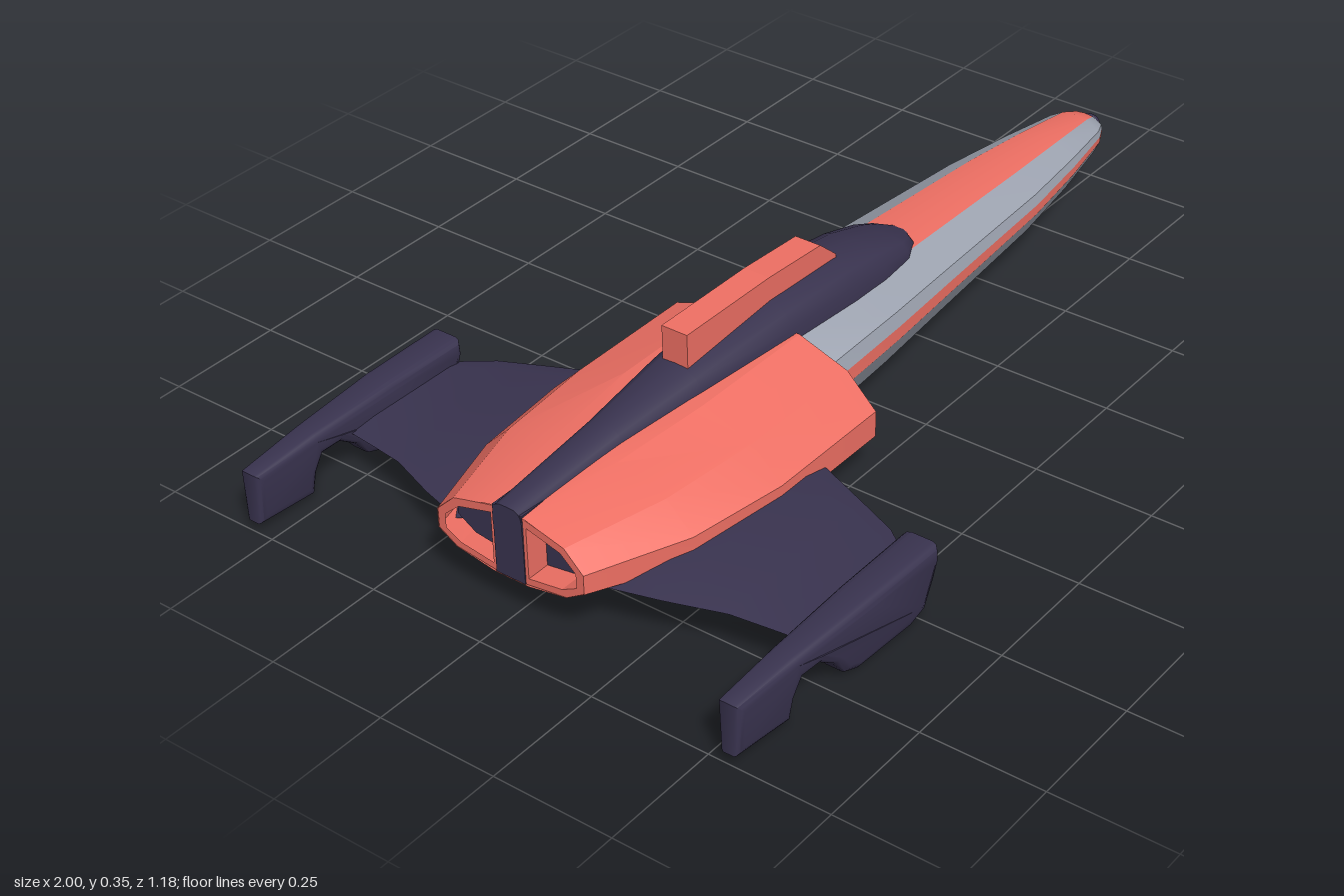
import * as THREE from 'three';
import { toCreasedNormals } from 'three/addons/utils/BufferGeometryUtils.js';

const paint = (color, side = THREE.FrontSide) => new THREE.MeshStandardMaterial({ color, side });
const RED = paint(0xf07064), GREY = paint(0x9da3b0), DARK = paint(0x39334f), MAUVE = paint(0x6b3f4e);
const RED_SHELL = paint(0xf07064, THREE.DoubleSide);

function add(group, name, geometry, material) {
  const mesh = new THREE.Mesh(geometry, material);
  mesh.name = name;
  group.add(mesh);
  return mesh;
}

// Closed ring across the body at x, from one half given as [z, y], top centre to bottom centre
function ring(x, half) {
  const mirrored = half.slice(1, -1).reverse().map(([z, y]) => [-z, y]);
  return [...half, ...mirrored].map(([z, y]) => [x, y, z]);
}

// Skin between closed rings; keep(j) selects lengthwise strips, caps close both ends
function loft(rings, { keep = () => true, caps = false, crease = 0.45 } = {}) {
  const pos = [], n = rings[0].length;
  const tri = (...p) => p.forEach((v) => pos.push(...v));
  for (let i = 0; i < rings.length - 1; i++) {
    for (let j = 0; j < n; j++) {
      if (!keep(j)) continue;
      const k = (j + 1) % n;
      const a = rings[i][j], b = rings[i][k], c = rings[i + 1][k], d = rings[i + 1][j];
      tri(a, b, c);
      tri(a, c, d);
    }
  }
  if (caps) {
    const first = rings[0], last = rings[rings.length - 1];
    for (let j = 1; j < n - 1; j++) {
      tri(first[0], first[j + 1], first[j]);
      tri(last[0], last[j], last[j + 1]);
    }
  }
  const g = new THREE.BufferGeometry();
  g.setAttribute('position', new THREE.Float32BufferAttribute(pos, 3));
  return toCreasedNormals(g, crease);
}

// Plate facing along x from a [z, y] outline with an optional hole, on side s
function plate(outline, hole, x, depth, s) {
  const pts = (list) => list.map(([z, y]) => new THREE.Vector2(-s * z, y));
  const shape = new THREE.Shape(pts(outline));
  if (hole) shape.holes.push(new THREE.Path(pts(hole)));
  return new THREE.ExtrudeGeometry(shape, { depth, bevelEnabled: false })
    .rotateY(Math.PI / 2).translate(x, 0, 0);
}

function makeFuselage() {
  const g = new THREE.Group();
  g.name = 'fuselage';
  // Fractions of half width and of height
  const profile = [[0, 1], [0.46, 0.96], [0.94, 0.76], [1, 0.62], [1, 0.48], [0.78, 0.15], [0.4, 0], [0, 0]];
  const stations = [ // x, half width, top, bottom
    [-0.46, 0.11, 0.21, 0.04], [-0.2, 0.165, 0.25, 0.03], [0.05, 0.152, 0.24, 0.038],
    [0.25, 0.137, 0.231, 0.048], [0.6, 0.112, 0.215, 0.065], [0.78, 0.088, 0.203, 0.08],
    [0.92, 0.064, 0.19, 0.1], [0.96, 0.045, 0.176, 0.116], [0.98, 0.024, 0.162, 0.13],
  ];
  const rings = stations.map(([x, w, top, bot]) =>
    ring(x, profile.map(([z, y]) => [z * w, bot + y * (top - bot)])));
  const isRed = (j) => [0, 3, 6].includes(Math.min(j, 13 - j));
  add(g, 'redStripes', loft(rings, { keep: isRed }), RED);
  add(g, 'greyPanels', loft(rings, { keep: (j) => !isRed(j) }), GREY);
  // Dark nose tip
  const tip = add(g, 'noseTip', new THREE.SphereGeometry(1, 16, 10), DARK);
  tip.scale.set(0.026, 0.019, 0.027);
  tip.position.set(0.974, 0.146, 0);
  return g;
}

function makeHull() {
  const g = new THREE.Group();
  g.name = 'engineHull';
  const rear = [[0, 0.23], [0.04, 0.228], [0.125, 0.205], [0.166, 0.165], [0.166, 0.125], [0.125, 0.1], [0.04, 0.085], [0, 0.085]];
  const front = [[0, 0.25], [0.09, 0.248], [0.2, 0.21], [0.265, 0.145], [0.265, 0.09], [0.22, 0.06], [0.06, 0.032], [0, 0.032]];
  const back = [[0, 0.242], [0.07, 0.24], [0.18, 0.21], [0.238, 0.152], [0.238, 0.098], [0.19, 0.065], [0.055, 0.045], [0, 0.045]];
  const rings = [ring(-0.91, rear), ring(-0.7, back), ring(-0.48, front), ring(-0.19, front)];
  add(g, 'hullShell', loft(rings, { crease: 0.3 }), RED_SHELL);

  for (const s of [1, -1]) {
    // Intake frame with a recessed inner wall
    const frame = [[0.12, 0.235], [0.2, 0.209], [0.264, 0.145], [0.264, 0.09], [0.22, 0.061], [0.12, 0.043]];
    const mouth = [[0.165, 0.193], [0.2, 0.19], [0.248, 0.142], [0.248, 0.096], [0.215, 0.08], [0.14, 0.066]];
    add(g, 'intakeFrame', plate(frame, mouth, -0.26, 0.07, s), RED);
    add(g, 'intakeWall', plate(frame, null, -0.265, 0.02, s), MAUVE);
    // Exhaust frame with a recessed dark wall
    const outlet = [[0.03, 0.228], [0.125, 0.205], [0.165, 0.165], [0.165, 0.125], [0.125, 0.1], [0.03, 0.087]];
    const opening = [[0.04, 0.21], [0.115, 0.19], [0.148, 0.16], [0.148, 0.13], [0.115, 0.113], [0.04, 0.102]];
    add(g, 'exhaustFrame', plate(outlet, opening, -0.909, 0.06, s), RED);
    add(g, 'exhaustWall', plate(outlet, null, -0.86, 0.01, s), DARK);
  }
  const post = add(g, 'exhaustPost', new THREE.BoxGeometry(0.06, 0.145, 0.066), DARK);
  post.position.set(-0.881, 0.16, 0);
  return g;
}

function makeSpine() {
  const g = new THREE.Group();
  g.name = 'spine';
  const stations = [ // x, half width, top
    [-0.912, 0.033, 0.24], [-0.65, 0.046, 0.265], [-0.45, 0.068, 0.285], [-0.2, 0.088, 0.305],
    [0, 0.089, 0.297], [0.1, 0.086, 0.281], [0.19, 0.077, 0.256], [0.235, 0.058, 0.24], [0.26, 0.025, 0.23],
  ];
  const rings = stations.map(([x, w, top]) => {
    const h = top - 0.215;
    return ring(x, [[0, top], [w * 0.5, top - 0.03 * h], [w * 0.76, top - 0.18 * h],
      [w * 0.93, top - 0.5 * h], [w, 0.215], [w, 0.19], [0, 0.19]]);
  });
  add(g, 'canopy', loft(rings, { caps: true, crease: 0.8 }), DARK);
  // Red dorsal block with a sloped front
  const side = [[-0.445, 0.26], [0.01, 0.26], [0.01, 0.302], [-0.04, 0.345], [-0.2, 0.354], [-0.445, 0.355]];
  const shape = new THREE.Shape(side.map(([x, y]) => new THREE.Vector2(x, y)));
  add(g, 'dorsalBlock', new THREE.ExtrudeGeometry(shape, { depth: 0.058, bevelEnabled: false })
    .translate(0, 0, -0.029), RED);
  return g;
}

// Both wings as one span: thin airfoil sections from tip to tip
function makeWings() {
  const half = [ // z, leading x, trailing x, y, thickness
    [0, -0.4, -0.75, 0.112, 0.036], [0.17, -0.34, -0.86, 0.112, 0.036], [0.27, -0.35, -0.83, 0.11, 0.03],
    [0.38, -0.39, -0.785, 0.103, 0.022], [0.46, -0.42, -0.77, 0.098, 0.015], [0.54, -0.48, -0.76, 0.097, 0.013],
  ];
  const span = [...half.slice(1).reverse().map(([z, ...r]) => [-z, ...r]), ...half];
  const rings = span.map(([z, a, b, y, t]) => {
    const at = (f, h) => [a + (b - a) * f, y + h * t, z];
    return [at(0, 0), at(0.12, 0.45), at(0.8, 0.45), at(1, 0), at(0.8, -0.45), at(0.12, -0.45)];
  });
  const g = new THREE.Group();
  g.name = 'wings';
  add(g, 'wingSpan', loft(rings, { caps: true }), DARK);
  return g;
}

// Wingtip pod: arched side outline, bevelled, thinner to the tail and to the bottom
function makePod(s) {
  const outline = [[-1, 0.025], [-0.86, 0.014], [-0.852, 0.06], [-0.835, 0.092], [-0.79, 0.092], [-0.745, 0.06],
    [-0.715, 0.022], [-0.68, 0.008], [-0.53, 0.004], [-0.485, 0.018], [-0.465, 0.08], [-0.455, 0.115],
    [-0.458, 0.146], [-0.65, 0.147], [-0.85, 0.142], [-1, 0.132]];
  const shape = new THREE.Shape(outline.map(([x, y]) => new THREE.Vector2(x, y)));
  const b = 0.016;
  const geo = new THREE.ExtrudeGeometry(shape, {
    depth: 0.078 - 2 * b, bevelThickness: b, bevelSize: b, bevelOffset: -b, bevelSegments: 3,
  }).translate(0, 0, -0.039 + b);
  const p = geo.attributes.position;
  for (let i = 0; i < p.count; i++) {
    const tail = THREE.MathUtils.clamp((-0.6 - p.getX(i)) / 0.4, 0, 1);
    const low = THREE.MathUtils.clamp((0.1 - p.getY(i)) / 0.1, 0, 1);
    p.setZ(i, p.getZ(i) * (1 - 0.4 * tail) * (1 - 0.25 * low) + s * (0.552 - 0.01 * tail));
  }
  const g = new THREE.Group();
  g.name = s > 0 ? 'podFrontSide' : 'podBackSide';
  add(g, 'podBody', toCreasedNormals(geo, 0.6), DARK);
  return g;
}

export function createModel() {
  const model = new THREE.Group();
  model.name = 'starfighter';
  model.add(makeFuselage(), makeHull(), makeSpine(), makeWings(), makePod(1), makePod(-1));
  return model;
}
